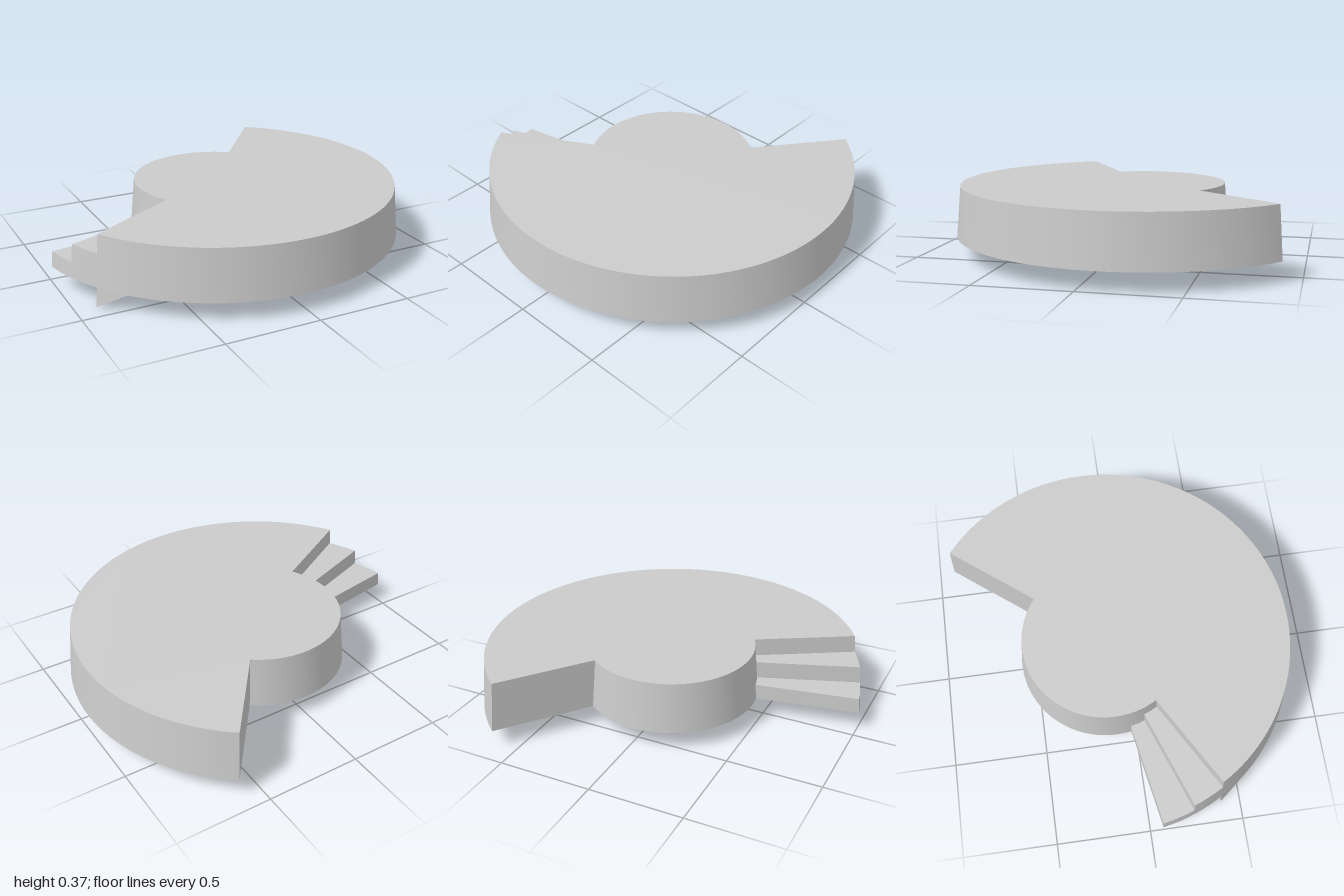
import * as THREE from 'three';
import { toCreasedNormals } from 'three/addons/utils/BufferGeometryUtils.js';

const BASE_Y = 0.1, TOP_Y = 0.37;      // underside and top of the disc
const OUTER = 1.01, HUB = 0.465;       // radii at the underside
const TAPER = 0.09;                    // radius lost per unit of height
const CENTRE_X = -0.01, CENTRE_Z = -0.11;

// Points on an arc, angles in degrees seen from above
function arc(radius, from, to, segments) {
  return Array.from({ length: segments + 1 }, (_, i) => {
    const a = THREE.MathUtils.degToRad(from + (to - from) * i / segments);
    return new THREE.Vector2(radius * Math.cos(a), radius * Math.sin(a));
  });
}

// Extrudes an outline from y0 to y1 and leans its walls inward with height
function taperedSlab(name, outline, y0, y1, lift = () => 0) {
  let geometry = new THREE.ExtrudeGeometry(new THREE.Shape(outline), { depth: y1 - y0, bevelEnabled: false });
  geometry.rotateX(-Math.PI / 2);
  geometry.translate(0, y0, 0);
  const p = geometry.attributes.position;
  for (let i = 0; i < p.count; i++) {
    const x = p.getX(i), z = p.getZ(i);
    const y = p.getY(i) < y0 + 1e-5 ? p.getY(i) + lift(x, z) : p.getY(i);
    const r = Math.hypot(x, z);
    const s = (r - TAPER * (y - BASE_Y)) / r;
    p.setXYZ(i, x * s, y, z * s);
  }
  geometry = toCreasedNormals(geometry, 0.3);
  const mesh = new THREE.Mesh(geometry, new THREE.MeshStandardMaterial({ color: 0xcccccc }));
  mesh.name = name;
  return mesh;
}

// Ring sector between the hub and the rim
const sector = (from, to, segments) =>
  [...arc(OUTER, from, to, segments), ...arc(HUB, to, from, segments)];

export function createModel() {
  const group = new THREE.Group();
  group.name = 'steppedDisc';

  // Main disc with a gap around the hub
  group.add(taperedSlab('disc', [...arc(HUB, 52, 210, 40), ...arc(OUTER, 210, 412, 80)], BASE_Y, TOP_Y));

  // Two stair treads in the gap
  group.add(taperedSlab('lowerStep', sector(190, 200, 4), BASE_Y, 0.182));
  group.add(taperedSlab('upperStep', sector(200, 210, 4), BASE_Y, 0.274));

  // Wedge below the disc, sloping up to the underside over ten degrees
  const slope = (x, z) => {
    const angle = (THREE.MathUtils.radToDeg(Math.atan2(-z, x)) + 360) % 360;
    return BASE_Y * (angle - 210) / 10;
  };
  group.add(taperedSlab('underWedge', sector(210, 220, 1), 0, BASE_Y, slope));

  group.children.forEach((part) => part.position.set(CENTRE_X, 0, CENTRE_Z));
  return group;
}
